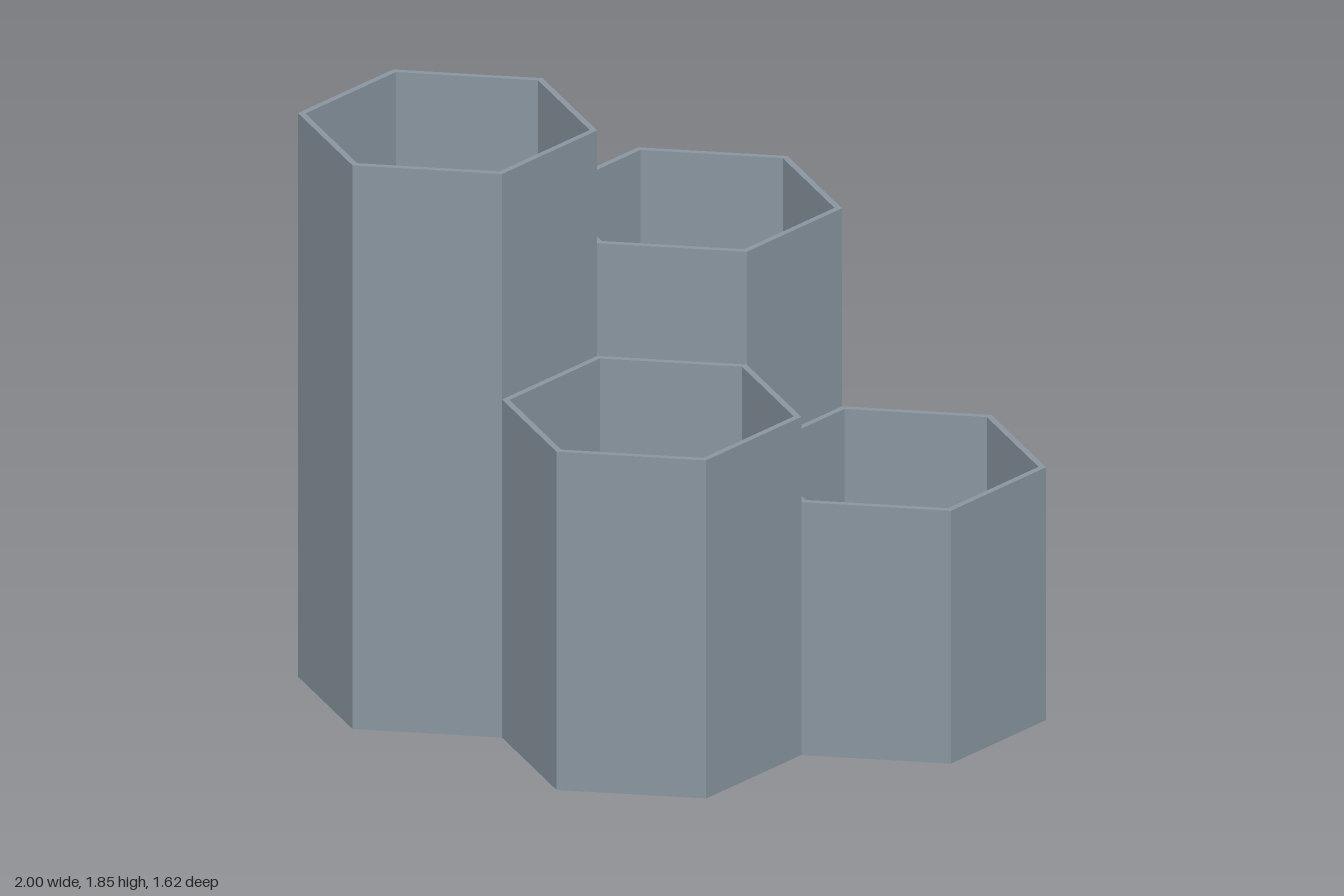
import * as THREE from 'three';

const APOTHEM = 0.4;                 // half the width across flats
const WALL = 0.02;
const FLOOR = 0.02;
const toRadius = (apothem) => apothem / Math.cos(Math.PI / 6);

// Hollow hexagonal cup, open at the top, with faceted normals
function hexCup(height) {
  const outer = toRadius(APOTHEM);
  const inner = toRadius(APOTHEM - WALL);
  const profile = [
    [0, 0], [outer, 0], [outer, height], [inner, height], [inner, FLOOR], [0, FLOOR],
  ].map(([r, y]) => new THREE.Vector2(r, y));
  const geometry = new THREE.LatheGeometry(profile, 6).toNonIndexed();
  geometry.computeVertexNormals();
  return geometry;
}

export function createModel() {
  const group = new THREE.Group();
  group.name = 'hexagonalOrganizer';
  const greyBlue = new THREE.MeshStandardMaterial({ color: 0x8a96a1 });
  greyBlue.name = 'greyBlue';

  // Two staggered rows of cups stepping down in height
  const rowZ = toRadius(APOTHEM) * 0.75;
  const cups = [
    ['backRightCup', -0.6, -rowZ, 1.85],
    ['backLeftCup', 0.2, -rowZ, 1.48],
    ['frontRightCup', -0.2, rowZ, 1.11],
    ['frontLeftCup', 0.6, rowZ, 0.83],
  ];
  for (const [name, x, z, height] of cups) {
    const cup = new THREE.Mesh(hexCup(height), greyBlue);
    cup.name = name;
    cup.position.set(x, 0, z);
    group.add(cup);
  }
  return group;
}
